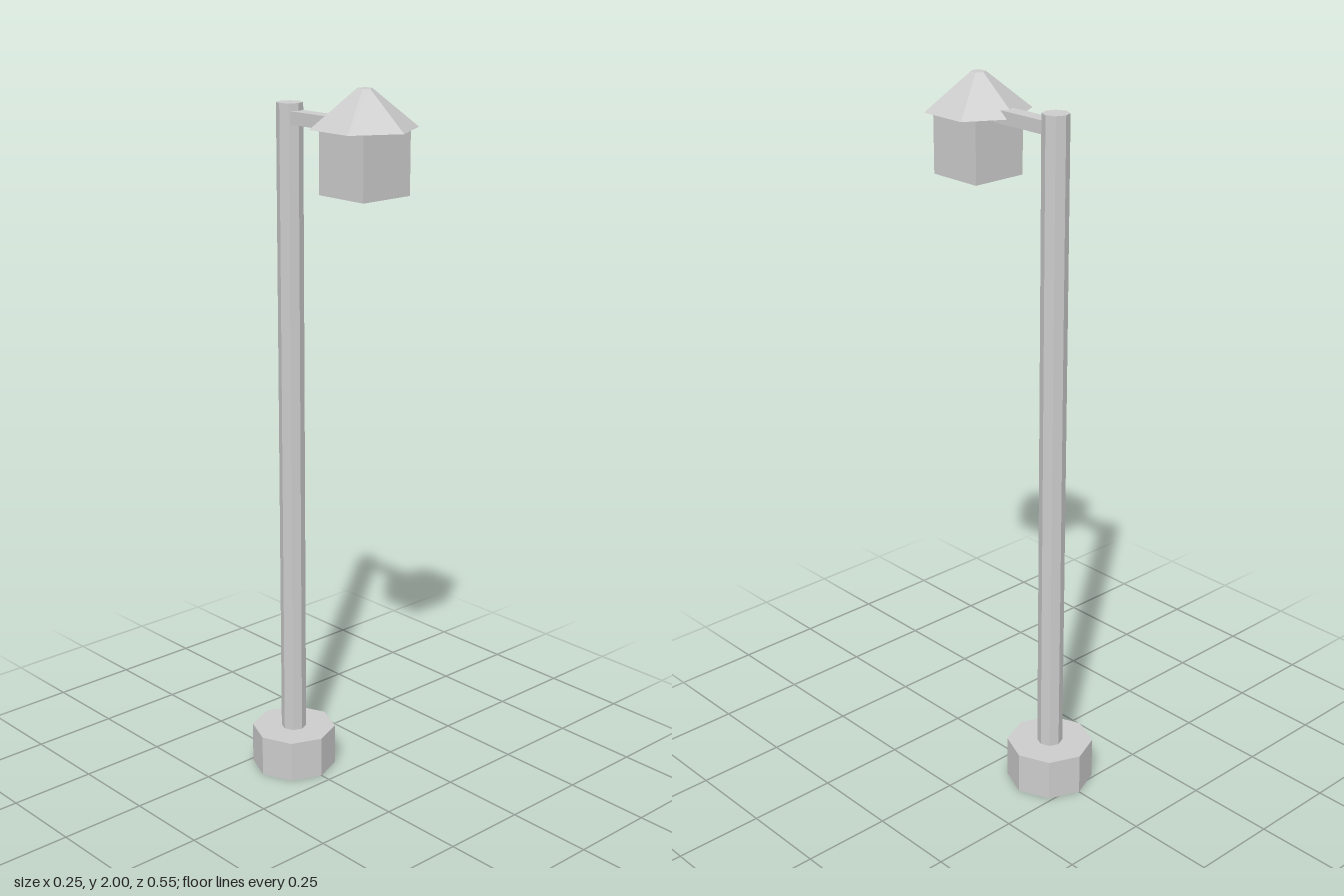
import * as THREE from 'three';

export function createModel() {
  const model = new THREE.Group();
  model.name = 'streetLamp';

  const paint = new THREE.MeshStandardMaterial({ color: 0xcccccc, flatShading: true });
  paint.name = 'light grey';

  const POLE_Z = -0.154;
  const LAMP_Z = 0.132;

  const add = (name, geometry, y, z) => {
    const mesh = new THREE.Mesh(geometry, paint);
    mesh.name = name;
    mesh.position.set(0, y, z);
    model.add(mesh);
  };
  // Faceted upright prism or frustum between two heights
  const prism = (name, rTop, rBottom, y0, y1, sides, z) =>
    add(name, new THREE.CylinderGeometry(rTop, rBottom, y1 - y0, sides), (y0 + y1) / 2, z);

  // Octagonal foot and pole
  prism('base', 0.122, 0.122, 0, 0.12, 8, POLE_Z);
  prism('pole', 0.036, 0.036, 0.12, 1.94, 8, POLE_Z);

  // Arm from the pole into the lantern
  const armEnd = 0.1;
  add('arm', new THREE.BoxGeometry(0.042, 0.035, armEnd - POLE_Z), 1.9025, (armEnd + POLE_Z) / 2);

  // Square lantern under a six-sided roof
  add('lantern', new THREE.BoxGeometry(0.164, 0.17, 0.164), 1.815, LAMP_Z + 0.002);
  prism('roof', 0.02, 0.143, 1.9, 2, 6, LAMP_Z);

  return model;
}
